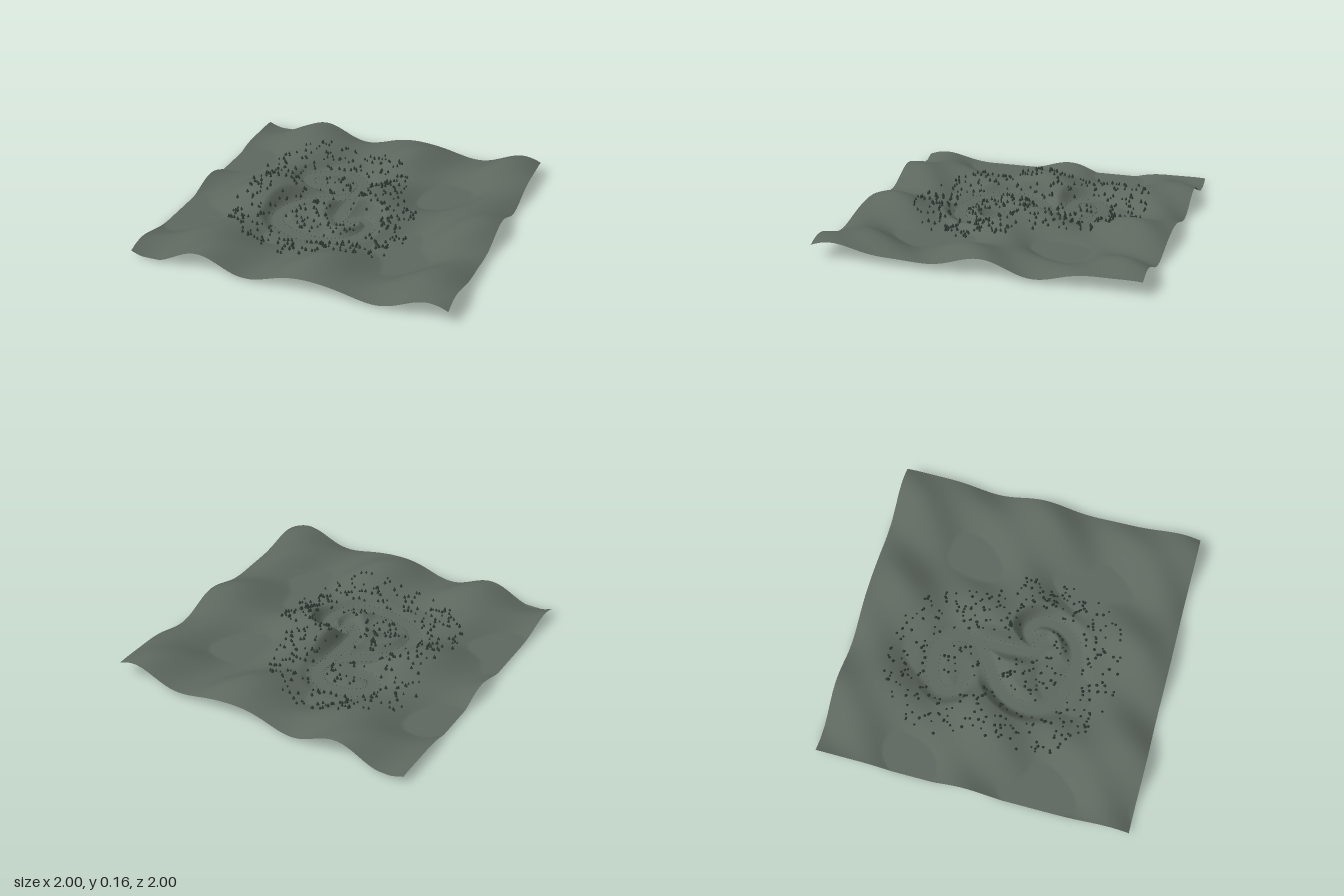
import * as THREE from 'three';
import { mergeGeometries } from 'three/addons/utils/BufferGeometryUtils.js';

const material = (name, color, side = THREE.FrontSide) => {
  const m = new THREE.MeshStandardMaterial({ color, side });
  m.name = name;
  return m;
};

// Winding track: a double curl plus a straight branch, as x/z points
const curve = (pts) => new THREE.CatmullRomCurve3(pts.map(([x, z]) => new THREE.Vector3(x, 0, z)));
const tracks = [
  curve([[-0.27, -0.25], [-0.37, -0.26], [-0.41, -0.36], [-0.31, -0.45], [-0.13, -0.46],
    [-0.03, -0.36], [-0.04, -0.23], [-0.16, -0.12], [-0.3, -0.02], [-0.38, 0.12], [-0.37, 0.28],
    [-0.24, 0.38], [-0.05, 0.42], [0.11, 0.38], [0.2, 0.26], [0.2, 0.13], [0.13, 0.07],
    [0.07, 0.11], [0.08, 0.19]]),
  curve([[-0.03, -0.32], [-0.03, -0.15], [-0.03, 0], [-0.01, 0.12], [0.08, 0.19]]),
];
const samples = [...tracks[0].getSpacedPoints(180), ...tracks[1].getSpacedPoints(50)];

function trackDistance(x, z) {
  let best = Infinity;
  for (const p of samples) best = Math.min(best, (p.x - x) ** 2 + (p.z - z) ** 2);
  return Math.sqrt(best);
}

// Rolling hills with flat hollows, levelled along the track
const FLOOR = 0.006;
function groundHeight(x, z, d = trackDistance(x, z)) {
  const hills = 0.051
    + 0.04 * Math.cos((2 * Math.PI * (x - 0.155)) / 0.702)
    + 0.0325 * Math.cos((2 * Math.PI * (z + 0.01)) / 0.82)
    - 0.0135 * Math.sin((2 * Math.PI * (x + z - 0.05)) / 0.5);
  return THREE.MathUtils.lerp(FLOOR, Math.max(0.013, hills), THREE.MathUtils.smoothstep(d, 0.03, 0.11));
}

function makeGround(mat) {
  const geo = new THREE.PlaneGeometry(2, 2, 160, 160).rotateX(-Math.PI / 2);
  const pos = geo.attributes.position;
  for (let i = 0; i < pos.count; i++) pos.setY(i, groundHeight(pos.getX(i), pos.getZ(i)));
  geo.computeVertexNormals();
  const mesh = new THREE.Mesh(geo, mat);
  mesh.name = 'ground';
  return mesh;
}

// Small seeded generator for repeatable scattering
function seeded(seed) {
  return () => {
    seed = (seed * 1664525 + 1013904223) % 4294967296;
    return seed / 4294967296;
  };
}

// Copies of one shape, joined into a single mesh
function scatter(name, shape, spots, mat) {
  const copies = spots.map(({ x, y, z, s = 1, turn = 0 }) =>
    shape.clone().scale(s, s, s).rotateY(turn).translate(x, y, z));
  const mesh = new THREE.Mesh(mergeGeometries(copies), mat);
  mesh.name = name;
  return mesh;
}

function treeSpots() {
  const random = seeded(71);
  const spots = [];
  for (let tries = 0; spots.length < 480 && tries < 6000; tries++) {
    const x = -0.72 + 1.2 * random();
    const z = -0.75 + 1.48 * random();
    const d = trackDistance(x, z);
    const s = 0.7 + 0.45 * random();
    if (d < 0.05 || d > 0.3) continue;
    spots.push({ x, z, s, y: groundHeight(x, z, d), turn: random() * 6 });
  }
  return spots;
}

// Low markers on both edges of the track
function markerSpots() {
  const spots = [];
  for (const track of tracks) {
    const n = Math.round(track.getLength() / 0.03);
    for (let i = 0; i <= n; i++) {
      const p = track.getPointAt(i / n);
      const t = track.getTangentAt(i / n);
      for (const side of [-0.04, 0.04]) {
        const x = p.x - t.z * side;
        const z = p.z + t.x * side;
        spots.push({ x, z, y: groundHeight(x, z) });
      }
    }
  }
  return spots;
}

export function createModel() {
  const model = new THREE.Group();
  model.name = 'hillyLandscape';
  const groundGreen = material('groundGreen', 0x5d675e, THREE.DoubleSide);
  const treeGreen = material('treeGreen', 0x2d3831);
  const barkBrown = material('barkBrown', 0x2f2a25);
  const markerGrey = material('markerGrey', 0x3a403c);

  // Tiered conifers
  const crown = mergeGeometries([
    new THREE.ConeGeometry(0.01, 0.015, 6).translate(0, 0.0135, 0),
    new THREE.ConeGeometry(0.007, 0.013, 6).translate(0, 0.0205, 0),
  ]);
  const trunk = new THREE.CylinderGeometry(0.002, 0.0026, 0.01, 5, 1, true).translate(0, 0.0045, 0);
  const marker = new THREE.BoxGeometry(0.003, 0.01, 0.003).translate(0, -0.001, 0);

  const trees = treeSpots();
  model.add(
    makeGround(groundGreen),
    scatter('treeCrowns', crown, trees, treeGreen),
    scatter('treeTrunks', trunk, trees, barkBrown),
    scatter('trackMarkers', marker, markerSpots(), markerGrey),
  );
  return model;
}
